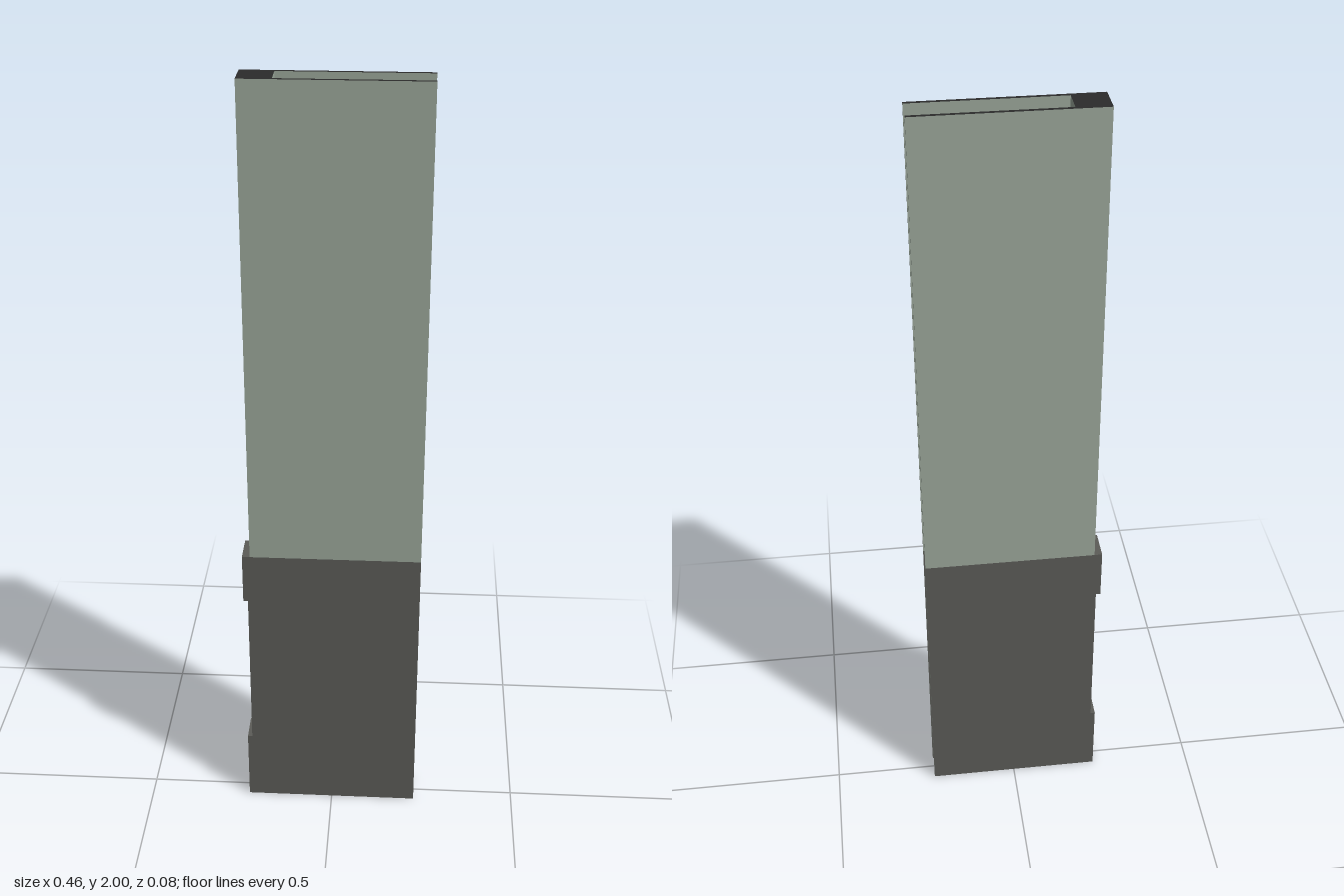
import * as THREE from 'three';

export function createModel() {
  const group = new THREE.Group();
  group.name = 'channelPanel';

  const material = (name, color) => {
    const m = new THREE.MeshStandardMaterial({ color });
    m.name = name;
    return m;
  };
  const green = material('paleGreen', 0x9ca89b);
  const grey = material('darkGrey', 0x5c5c58);
  const black = material('cutEdgeBlack', 0x2b2b2b);

  const RIGHT = 0.228, OUTER = 0.04, INNER = 0.031;

  // Box given by its limits; materials are ordered +x, -x, +y, -y, +z, -z
  function box(name, parent, [x0, x1], [y0, y1], [z0, z1], materials) {
    const mesh = new THREE.Mesh(new THREE.BoxGeometry(x1 - x0, y1 - y0, z1 - z0), materials);
    mesh.position.set((x0 + x1) / 2, (y0 + y1) / 2, (z0 + z1) / 2);
    mesh.name = name;
    parent.add(mesh);
  }

  // Each section is a U-shaped channel: a solid spine between two thin sheets
  const sections = [
    { name: 'bottomBand', y: [0, 0.2], spine: [-0.23, -0.11], body: grey, top: grey, bottom: black },
    { name: 'middleSection', y: [0.2, 0.645], spine: [-0.218, -0.122], body: grey, top: grey, bottom: grey },
    { name: 'upperBand', y: [0.645, 0.78], spine: [-0.23, -0.11], body: grey, top: grey, bottom: grey },
    { name: 'tallPanel', y: [0.78, 2], spine: [-0.21, -0.13], body: green, top: black, bottom: green },
  ];

  for (const { name, y, spine, body, top, bottom } of sections) {
    const section = new THREE.Group();
    section.name = name;
    group.add(section);

    box('spine', section, spine, y, [-INNER, INNER], [body, body, top, bottom, body, body]);
    // Sheets have a pale free edge along the open side
    const sheet = [green, body, top, bottom, body, body];
    box('frontSheet', section, [spine[0], RIGHT], y, [INNER, OUTER], sheet);
    box('backSheet', section, [spine[0], RIGHT], y, [-OUTER, -INNER], sheet);
  }

  return group;
}
